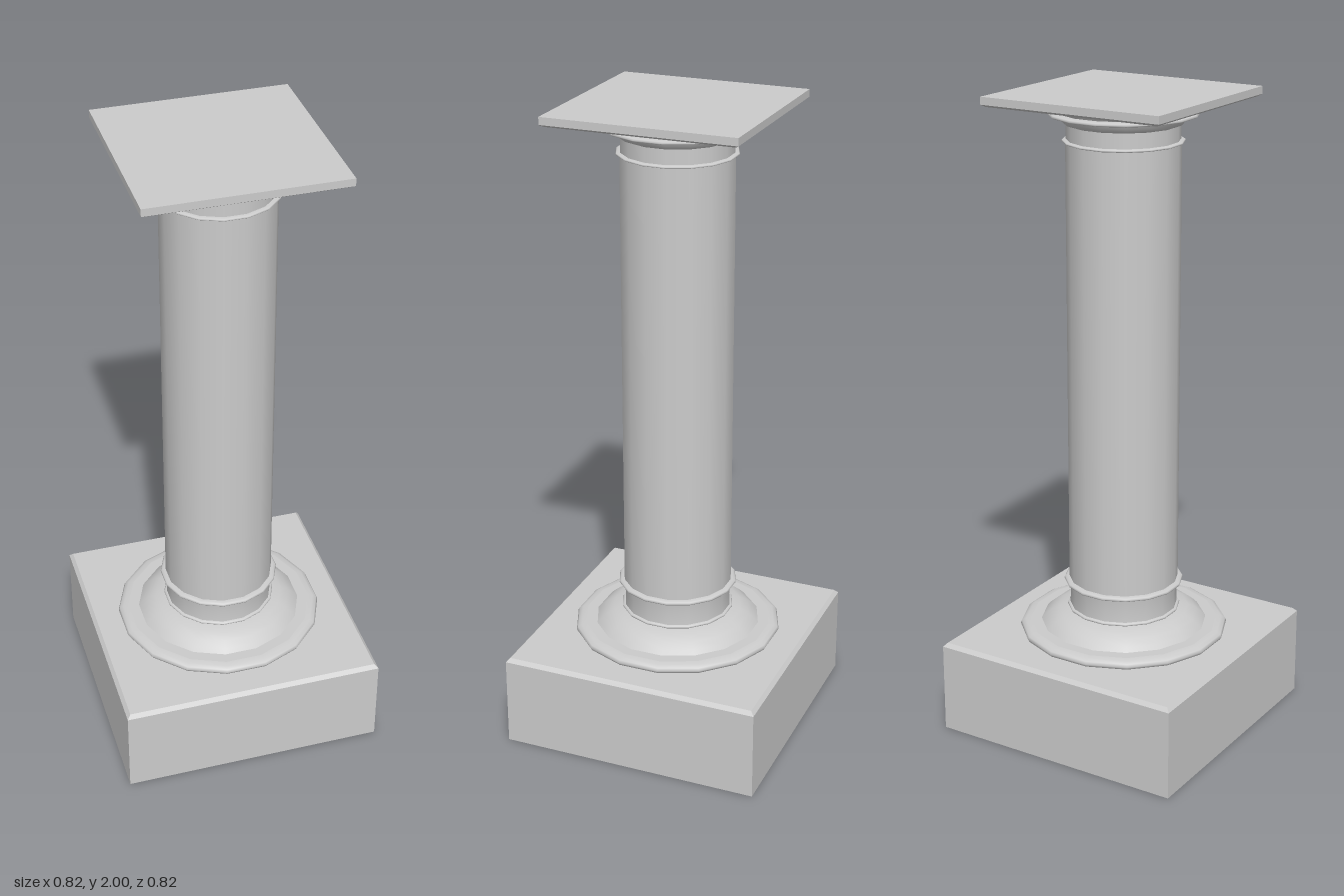
import * as THREE from 'three';

const SIDES = 16;

export function createModel() {
  const model = new THREE.Group();
  const smooth = new THREE.MeshStandardMaterial({ color: 0xcccccc, side: THREE.DoubleSide });
  const flat = new THREE.MeshStandardMaterial({ color: 0xcccccc, flatShading: true });

  // Revolve a [half width, height] profile; half widths are measured across the flats
  function turned(name, profile, sides = SIDES, material = smooth) {
    const k = 1 / Math.cos(Math.PI / sides);
    const points = profile.map(([r, y]) => new THREE.Vector2(r * k, y));
    const mesh = new THREE.Mesh(new THREE.LatheGeometry(points, sides, Math.PI / sides), material);
    mesh.name = name;
    model.add(mesh);
  }

  // Thin rounded moulding around the column
  function ring(name, outer, inner, y0, y1) {
    const profile = [];
    for (let i = 0; i <= 6; i++) {
      const a = (i / 6) * Math.PI;
      profile.push([inner + (outer - inner) * Math.sin(a), (y0 + y1) / 2 - ((y1 - y0) / 2) * Math.cos(a)]);
    }
    turned(name, profile);
  }

  // Square plinth with a slightly chamfered top edge
  turned('plinth', [[0, 0], [0.411, 0], [0.411, 0.283], [0.4, 0.295], [0, 0.295]], 4, flat);

  // Stepped base mouldings
  ring('baseRing', 0.322, 0.29, 0.293, 0.326);
  turned('baseRingTop', [[0.29, 0.326], [0.24, 0.326]]);
  turned('baseDome', [[0.258, 0.324], [0.245, 0.338], [0.225, 0.355], [0.2, 0.368], [0.172, 0.374]]);
  ring('neckRing', 0.174, 0.16, 0.371, 0.384);
  turned('lowerNeck', [[0.166, 0.38], [0.164, 0.42], [0.168, 0.46]]);
  ring('lowerCollar', 0.184, 0.165, 0.457, 0.474);

  // Shaft
  turned('shaft', [[0.168, 0.465], [0.168, 1.86]]);

  // Capital mouldings
  ring('upperCollar', 0.179, 0.163, 1.853, 1.863);
  turned('upperNeck', [[0.166, 1.86], [0.166, 1.908]]);
  turned('capitalFlare', [[0.166, 1.908], [0.176, 1.912], [0.184, 1.922], [0.19, 1.934]]);
  ring('capitalRing', 0.222, 0.188, 1.931, 1.947);
  turned('capitalCove', [[0.198, 1.945], [0.203, 1.954], [0.216, 1.961], [0.22, 1.973]]);

  // Square cap slab
  turned('capSlab', [[0, 1.97], [0.286, 1.97], [0.297, 1.977], [0.297, 2], [0, 2]], 4, flat);

  return model;
}
